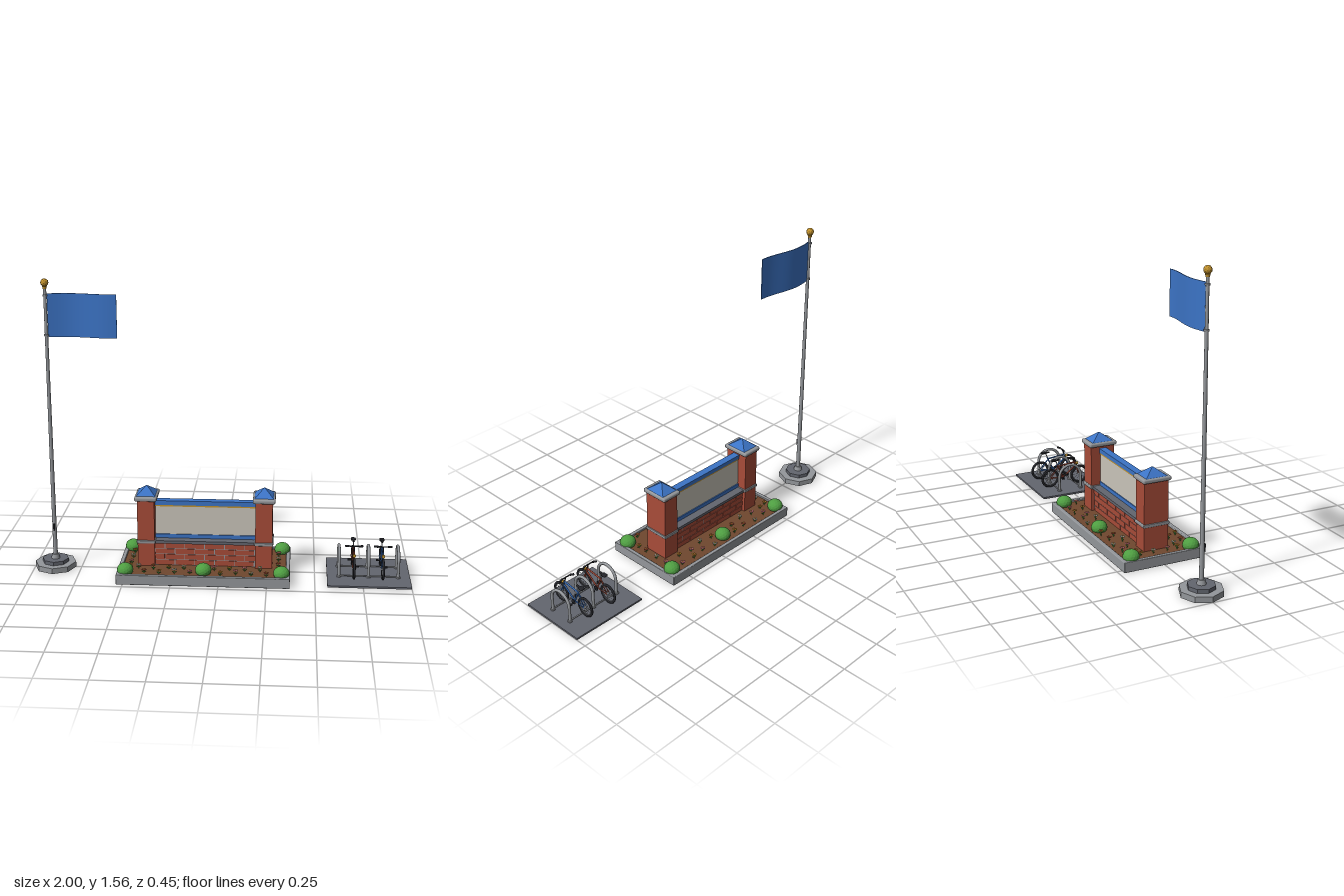
import * as THREE from 'three';
import { RoundedBoxGeometry } from 'three/addons/geometries/RoundedBoxGeometry.js';

const paint = (name, color) => Object.assign(new THREE.MeshStandardMaterial({ color }), { name });
const M = {
  concrete: paint('concrete grey', 0x94979b),
  dark: paint('dark slate', 0x63666f),
  brick: paint('brick red', 0xa84c39),
  blue: paint('blue', 0x3c74c6),
  cream: paint('cream', 0xcbc6bb),
  gold: paint('gold', 0xc2922e),
  green: paint('leaf green', 0x4f9e42),
  soil: paint('soil brown', 0x70482f),
  black: paint('black', 0x24252a),
  pink: paint('pink', 0xdb7590),
};

// ---- helpers ----
function add(parent, name, geo, mat, x = 0, y = 0, z = 0) {
  const mesh = new THREE.Mesh(geo, mat);
  mesh.name = name;
  mesh.position.set(x, y, z);
  parent.add(mesh);
  return mesh;
}
function group(parent, name, x = 0, y = 0, z = 0) {
  const g = new THREE.Group();
  g.name = name;
  g.position.set(x, y, z);
  parent.add(g);
  return g;
}
const box = (w, h, d) => new THREE.BoxGeometry(w, h, d);
const cyl = (r1, r2, h, n = 12) => new THREE.CylinderGeometry(r1, r2, h, n);
function flat(geo) {
  const g = geo.index ? geo.toNonIndexed() : geo;
  g.computeVertexNormals();
  return g;
}
// round bar between two points
function bar(parent, name, a, b, r, mat) {
  const p = new THREE.Vector3(...a), q = new THREE.Vector3(...b);
  const dir = q.clone().sub(p);
  const mesh = add(parent, name, cyl(r, r, dir.length(), 8), mat);
  mesh.position.copy(p).add(q).multiplyScalar(0.5);
  mesh.quaternion.setFromUnitVectors(new THREE.Vector3(0, 1, 0), dir.normalize());
  return mesh;
}

// ---- flagpole ----
function flagpole(root) {
  const g = group(root, 'flagpole', -0.89, 0, 0);
  add(g, 'lowerPlinth', flat(cyl(0.11, 0.11, 0.03, 8)), M.concrete, 0, 0.015);
  add(g, 'upperPlinth', flat(cyl(0.07, 0.07, 0.02, 8)), M.dark, 0, 0.04);
  add(g, 'collar', cyl(0.018, 0.024, 0.024), M.concrete, 0, 0.062);
  add(g, 'pole', cyl(0.008, 0.012, 1.46), M.concrete, 0, 0.79);
  add(g, 'cleat', box(0.008, 0.04, 0.008), M.black, 0, 0.23, 0.013);
  add(g, 'truck', cyl(0.012, 0.01, 0.012), M.gold, 0, 1.515);
  add(g, 'finial', flat(new THREE.IcosahedronGeometry(0.021, 1)), M.gold, 0, 1.54);
  // waving flag: a thin slab bent along a sine
  const flag = box(0.355, 0.225, 0.004, 16, 1, 1);
  const geo = new THREE.BoxGeometry(0.355, 0.225, 0.004, 16, 1, 1);
  flag.dispose();
  const p = geo.attributes.position;
  for (let i = 0; i < p.count; i++) {
    const u = p.getX(i) / 0.355 + 0.5;
    p.setZ(i, p.getZ(i) - 0.014 * Math.sin(u * Math.PI * 1.6));
  }
  geo.computeVertexNormals();
  add(g, 'flag', geo, M.blue, 0.187, 1.372);
  for (const y of [1.27, 1.475]) add(g, 'flagRing', cyl(0.013, 0.013, 0.008), M.concrete, 0, y);
}

// ---- flower bed ----
function flower(parent, x, z, h, mat) {
  const g = group(parent, 'flower', x, 0.045, z);
  add(g, 'stem', cyl(0.0015, 0.002, h, 5), M.green, 0, h / 2);
  for (const s of [-1, 1]) {
    const leaf = add(g, 'leaf', new THREE.SphereGeometry(0.007, 6, 4), M.green, s * 0.006, h * 0.45);
    leaf.scale.set(1, 0.35, 0.5);
    leaf.rotation.z = s * 0.5;
  }
  for (let i = 0; i < 5; i++) {
    const a = i * Math.PI * 0.4 + x * 40;
    const petal = add(g, 'petal', new THREE.SphereGeometry(0.006, 6, 4), mat, Math.cos(a) * 0.008, h, Math.sin(a) * 0.008);
    petal.scale.y = 0.45;
  }
  add(g, 'flowerCentre', new THREE.SphereGeometry(0.005, 6, 4), mat === M.gold ? M.brick : M.gold, 0, h + 0.001);
}

function flowerBed(root) {
  const g = group(root, 'flowerBed', -0.082, 0, 0);
  const W = 0.452, D = 0.225, t = 0.022;
  for (const s of [-1, 1]) {
    add(g, 'longKerb', new RoundedBoxGeometry(W * 2, 0.055, t, 1, 0.004), M.concrete, 0, 0.0275, s * (D - t / 2));
    add(g, 'shortKerb', new RoundedBoxGeometry(t, 0.055, D * 2, 1, 0.004), M.concrete, s * (W - t / 2), 0.0275, 0);
  }
  add(g, 'soil', box((W - t) * 2 + 0.004, 0.044, (D - t) * 2 + 0.004), M.soil, 0, 0.023);
  const bushGeo = flat(new THREE.IcosahedronGeometry(0.043, 2));
  for (const s of [-1, 1])
    for (const [x, z] of [[-0.408, 0.168], [0, 0.148], [0.408, 0.168]])
      add(g, 'bush', bushGeo, M.green, x, 0.063, z * s).scale.y = 0.85;
  // staggered rows of flowers
  const mats = [M.gold, M.pink, M.cream, M.brick, M.gold, M.cream, M.pink];
  let n = 0;
  for (const s of [-1, 1])
    for (const [row, z0] of [0.112, 0.17].entries())
      for (let i = 0; i < 9; i++) {
        const x = -0.345 + i * 0.08 + row * 0.035;
        if (Math.abs(x) < 0.05) continue;
        flower(g, x, s * (z0 + 0.008 * Math.sin(n * 2.3)), 0.018 + 0.009 * (n % 3) / 2, mats[n++ % 7]);
      }
  for (const s of [-1, 1])
    for (const z of [-0.105, -0.035, 0.045, 0.1]) flower(g, s * 0.39, z, 0.022, mats[n++ % 7]);
}

// ---- brick sign ----
function sign(root) {
  const g = group(root, 'sign', -0.08, 0, 0);
  for (const s of [-1, 1]) {
    const p = group(g, 'pillar', s * 0.31, 0, 0);
    add(p, 'pillarShaft', box(0.09, 0.37, 0.136), M.brick, 0, 0.225);
    add(p, 'pillarBand', new RoundedBoxGeometry(0.1, 0.018, 0.148, 1, 0.004), M.concrete, 0, 0.18);
    add(p, 'pillarCap', new RoundedBoxGeometry(0.118, 0.024, 0.158, 2, 0.009), M.concrete, 0, 0.418);
    const roof = flat(new THREE.ConeGeometry(Math.SQRT2, 0.045, 4).rotateY(Math.PI / 4));
    add(p, 'pillarRoof', roof, M.blue, 0, 0.4515).scale.set(0.051, 1, 0.061);
  }
  // brick courses standing proud of a mortar core
  const W = 0.53, rows = 4, h = 0.125 / rows, len = 0.105, gap = 0.004;
  add(g, 'mortar', box(W, 0.125, 0.098), M.concrete, 0, 0.1075);
  for (let r = 0; r < rows; r++)
    for (let x = -W / 2 - (r % 2) * len / 2; x < W / 2 - 0.01; x += len) {
      const a = Math.max(x + gap / 2, -W / 2), b = Math.min(x + len - gap / 2, W / 2);
      add(g, 'brick', box(b - a, h - gap, 0.103), M.brick, (a + b) / 2, 0.045 + h * (r + 0.5));
    }
  add(g, 'ledge', box(W, 0.016, 0.124), M.dark, 0, 0.178);
  // sign board with trims
  add(g, 'board', box(W, 0.17, 0.026), M.cream, 0, 0.282);
  add(g, 'lowerTrim', box(W, 0.022, 0.036), M.blue, 0, 0.196);
  add(g, 'goldLine', box(W, 0.008, 0.032), M.gold, 0, 0.366);
  add(g, 'upperTrim', box(W, 0.018, 0.036), M.blue, 0, 0.379);
  add(g, 'topRail', box(W, 0.008, 0.04), M.blue, 0, 0.391);
}

// ---- bicycles, facing +z ----
function bicycle(root, x, mat) {
  const g = group(root, 'bicycle', x, 0.01, 0);
  const hubY = 0.056, R = 0.049;
  for (const z of [-0.092, 0.092]) {
    const w = group(g, 'wheel', 0, hubY, z);
    w.rotation.y = Math.PI / 2;
    add(w, 'tyre', new THREE.TorusGeometry(R, 0.0065, 8, 28), M.black);
    add(w, 'rim', new THREE.TorusGeometry(R - 0.007, 0.002, 6, 28), M.concrete);
    add(w, 'hub', cyl(0.006, 0.006, 0.02, 10).rotateX(Math.PI / 2), M.concrete);
    for (let i = 0; i < 5; i++) {
      const c = Math.cos(i * Math.PI / 5) * 0.043, s = Math.sin(i * Math.PI / 5) * 0.043;
      bar(w, 'spoke', [c, s, 0], [-c, -s, 0], 0.0008, M.concrete);
    }
  }
  const crank = [0, 0.05, -0.01], seatTop = [0, 0.13, -0.045];
  const headTop = [0, 0.14, 0.06], headLow = [0, 0.112, 0.068];
  for (const [a, b] of [[crank, seatTop], [crank, headLow], [[0, 0.12, -0.041], [0, 0.132, 0.062]], [headTop, headLow]])
    bar(g, 'frameTube', a, b, 0.0045, mat);
  for (const s of [-1, 1]) {
    bar(g, 'chainStay', crank, [s * 0.009, hubY, -0.092], 0.0025, mat);
    bar(g, 'seatStay', [0, 0.118, -0.04], [s * 0.009, hubY, -0.092], 0.0025, mat);
    bar(g, 'fork', headLow, [s * 0.009, hubY, 0.092], 0.003, mat);
    bar(g, 'crankArm', [s * 0.01, 0.05, -0.01], [s * 0.012, 0.05 - s * 0.02, 0], 0.002, M.black);
    add(g, 'pedal', box(0.018, 0.005, 0.013), M.black, s * 0.022, 0.05 - s * 0.02, 0);
    bar(g, 'grip', [s * 0.026, 0.166, 0.05], [s * 0.046, 0.164, 0.042], 0.0055, M.black);
  }
  add(g, 'chainring', cyl(0.014, 0.014, 0.004, 16).rotateZ(Math.PI / 2), M.black, 0.009, 0.05, -0.01);
  bar(g, 'seatPost', seatTop, [0, 0.157, -0.056], 0.003, M.concrete);
  add(g, 'saddle', new RoundedBoxGeometry(0.026, 0.011, 0.03, 2, 0.005), M.black, 0, 0.16, -0.068);
  add(g, 'saddleNose', new RoundedBoxGeometry(0.012, 0.009, 0.03, 2, 0.004), M.black, 0, 0.16, -0.046);
  bar(g, 'stem', headTop, [0, 0.166, 0.053], 0.0035, M.black);
  bar(g, 'handlebar', [-0.03, 0.166, 0.05], [0.03, 0.166, 0.05], 0.0035, M.black);
  add(g, 'headlight', cyl(0.009, 0.007, 0.014, 12).rotateX(Math.PI / 2), M.gold, 0, 0.124, 0.077);
}

function bikeStand(root) {
  const g = group(root, 'bikeStand', 0.782, 0, 0);
  add(g, 'pad', box(0.435, 0.01, 0.38), M.dark, 0, 0.005);
  // hoops: two legs joined by a half circle
  const path = new THREE.CurvePath();
  const R = 0.066, top = 0.092, v = (y, z) => new THREE.Vector3(0, y, z);
  const pts = [v(0.01, -R), v(0.05, -R)];
  for (let i = 0; i <= 10; i++) {
    const a = Math.PI * (1 - i / 10);
    pts.push(v(top + Math.sin(a) * R, Math.cos(a) * R));
  }
  pts.push(v(0.05, R), v(0.01, R));
  path.add(new THREE.CatmullRomCurve3(pts));
  const hoop = new THREE.TubeGeometry(path, 48, 0.008, 10);
  for (const x of [-0.155, 0, 0.155]) {
    add(g, 'hoop', hoop, M.concrete, x);
    for (const s of [-1, 1]) add(g, 'hoopFoot', cyl(0.013, 0.013, 0.006), M.concrete, x, 0.013, s * R);
  }
  for (const s of [-1, 1]) bar(g, 'groundRail', [-0.155, 0.016, s * R], [0.155, 0.016, s * R], 0.004, M.concrete);
  bicycle(g, -0.078, M.brick);
  bicycle(g, 0.073, M.blue);
}

export function createModel() {
  const root = new THREE.Group();
  root.name = 'entranceSign';
  flagpole(root);
  flowerBed(root);
  sign(root);
  bikeStand(root);
  return root;
}
